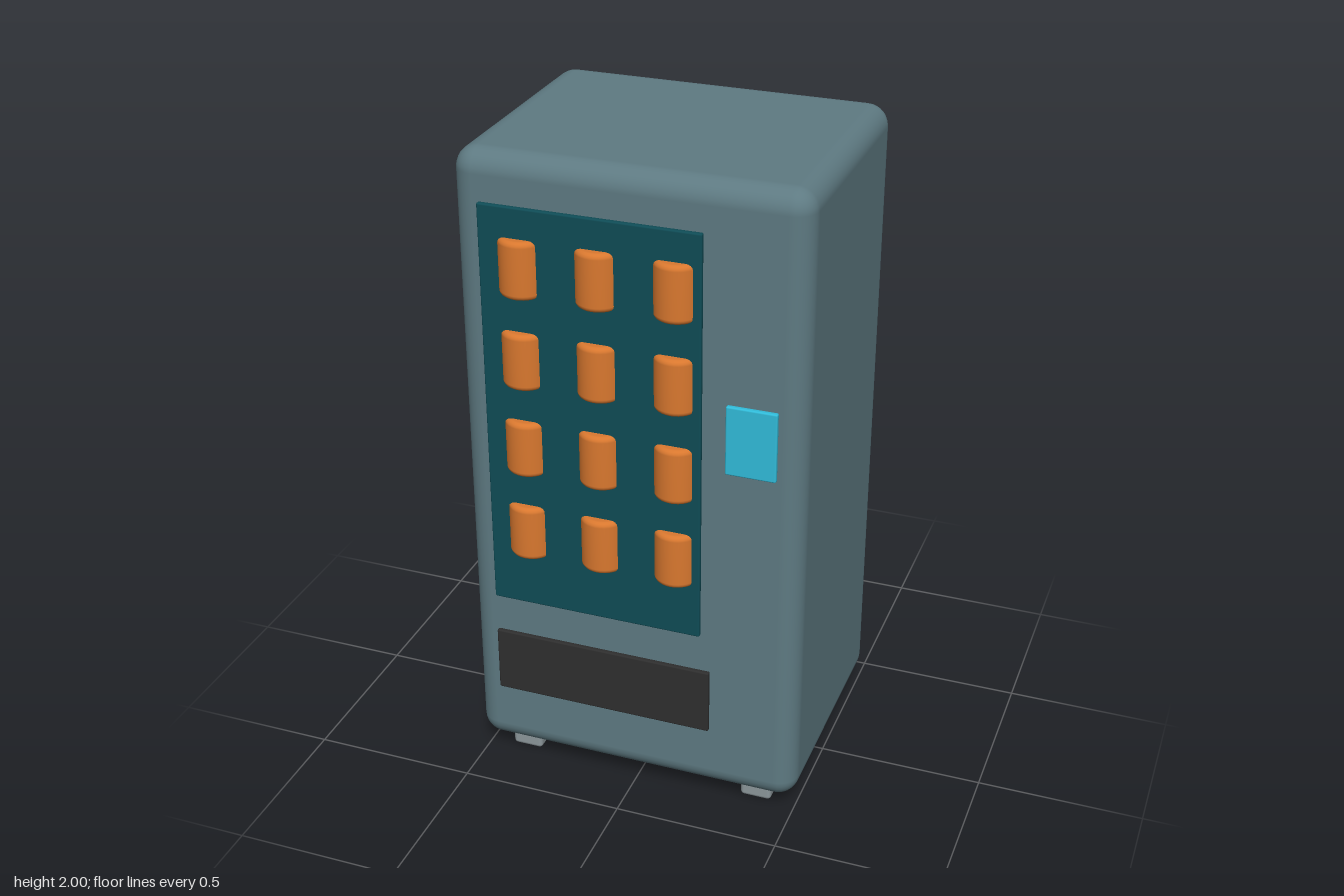
import * as THREE from 'three';
import { RoundedBoxGeometry } from 'three/addons/geometries/RoundedBoxGeometry.js';

function material(name, color) {
  const m = new THREE.MeshStandardMaterial({ color });
  m.name = name;
  return m;
}

export function createModel() {
  const model = new THREE.Group();
  model.name = 'vendingMachine';

  const slate = material('slate blue grey', 0x5e7a82);
  const teal = material('dark teal', 0x0f4c56);
  const orange = material('orange', 0xd9782f);
  const black = material('charcoal', 0x2e2e2e);
  const cyan = material('cyan', 0x31bcda);
  const grey = material('light grey', 0x8c979b);

  // Rounded box given by its lower and upper corners
  function box(name, mat, [x0, y0, z0], [x1, y1, z1], radius, segments = 3) {
    const geometry = new RoundedBoxGeometry(x1 - x0, y1 - y0, z1 - z0, segments, radius);
    const mesh = new THREE.Mesh(geometry, mat);
    mesh.name = name;
    mesh.position.set((x0 + x1) / 2, (y0 + y1) / 2, (z0 + z1) / 2);
    model.add(mesh);
  }

  // Cabinet
  box('cabinet', slate, [-0.512, 0.063, -0.43], [0.512, 2, 0.372], 0.065, 4);

  // Front panels, standing just clear of the cabinet
  box('displayWindow', teal, [-0.422, 0.613, 0.382], [0.223, 1.865, 0.398], 0.005, 2);
  box('deliveryHatch', black, [-0.417, 0.293, 0.393], [0.256, 0.5, 0.409], 0.005, 2);
  box('paymentScreen', cyan, [0.297, 1.172, 0.393], [0.444, 1.382, 0.409], 0.005, 2);

  // Four feet
  for (const x of [-0.38, 0.375]) {
    for (const z of [-0.31, 0.258]) {
      box('foot', grey, [x - 0.048, 0.004, z - 0.048], [x + 0.048, 0.1, z + 0.048], 0.012, 2);
    }
  }

  // Cans: one turned profile with rounded rims, repeated in a grid
  const r = 0.067, h = 0.086, bevel = 0.016;
  const profile = [new THREE.Vector2(0, -h)];
  for (const side of [-1, 1]) {
    for (let i = 0; i <= 4; i++) {
      const a = (side < 0 ? i - 4 : i) / 4 * Math.PI / 2;
      profile.push(new THREE.Vector2(
        r - bevel + bevel * Math.cos(a),
        side * (h - bevel) + bevel * Math.sin(a)
      ));
    }
  }
  profile.push(new THREE.Vector2(0, h));
  const canGeometry = new THREE.LatheGeometry(profile, 32);
  const cans = new THREE.Group();
  cans.name = 'cans';
  for (let row = 0; row < 4; row++) {
    for (let column = 0; column < 3; column++) {
      const can = new THREE.Mesh(canGeometry, orange);
      can.name = 'can';
      can.position.set(-0.307 + column * 0.225, 1.69 - row * 0.275, 0.361);
      cans.add(can);
    }
  }
  model.add(cans);

  return model;
}
